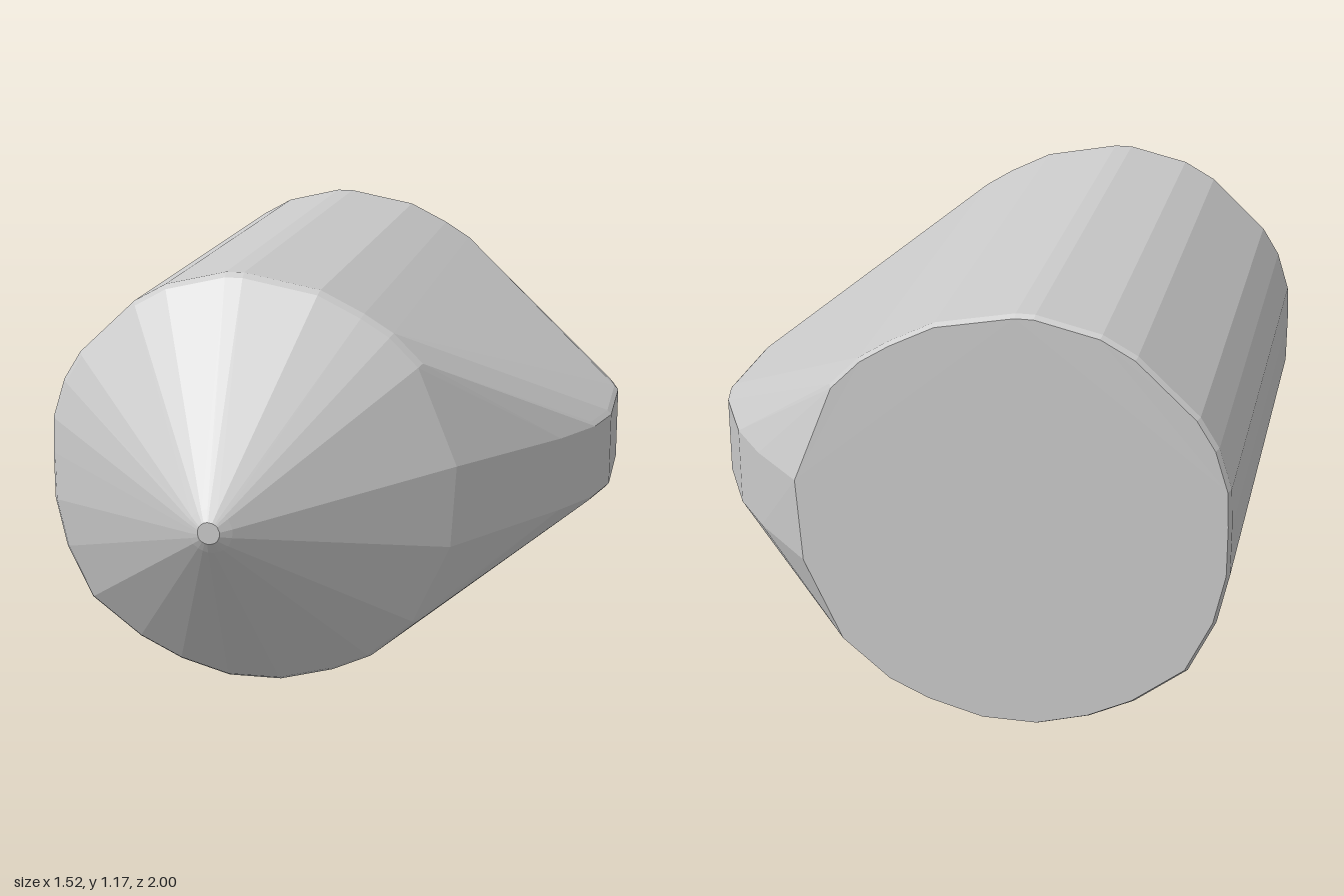
import * as THREE from 'three';
import { ConvexGeometry } from 'three/addons/geometries/ConvexGeometry.js';

export function createModel() {
  const group = new THREE.Group();
  const material = new THREE.MeshStandardMaterial({ color: 0xcccccc, flatShading: true });
  const centre = new THREE.Vector2(-0.185, 0.585);

  // Slightly uneven barrel outline (x, y), counter-clockwise from the bottom
  const outline = [
    [-0.26, 0], [-0.11, 0], [0.04, 0.04], [0.15, 0.09], [0.28, 0.2], [0.385, 0.43],
    [0.4, 0.665], [0.29, 0.94], [0.21, 1.02], [0.13, 1.07], [0.01, 1.13], [-0.2, 1.17],
    [-0.25, 1.17], [-0.42, 1.13], [-0.51, 1.08], [-0.67, 0.93], [-0.72, 0.85], [-0.755, 0.74],
    [-0.76, 0.64], [-0.76, 0.5], [-0.73, 0.36], [-0.66, 0.21], [-0.52, 0.1], [-0.4, 0.04],
  ];

  // Outline scale along z: bevelled back, barrel, blunt cone tip
  const rings = [[-1, 0.965], [-0.985, 0.98], [0.53, 1], [0.55, 0.98], [0.98, 0.1], [1, 0.05]];
  const points = [];
  for (const [z, s] of rings) {
    for (const [x, y] of outline) {
      points.push(new THREE.Vector3(
        centre.x + (x - centre.x) * s, centre.y + (y - centre.y) * s, z));
    }
  }

  // Arched ridge on the left side (z, x), with softened upper and lower edges
  const ridge = [
    [-0.83, 0.535], [-0.7, 0.635], [-0.5, 0.735], [-0.41, 0.757],
    [-0.11, 0.757], [0.03, 0.72], [0.18, 0.635],
  ];
  for (const [z, x] of ridge) {
    for (const side of [-1, 1]) {
      points.push(new THREE.Vector3(x, 0.545 + side * 0.107, z));
      points.push(new THREE.Vector3(x - 0.012, 0.545 + side * 0.12, z));
    }
  }

  const hull = new THREE.Mesh(new ConvexGeometry(points), material);
  hull.name = 'pointedBarrelHull';
  group.add(hull);
  return group;
}
